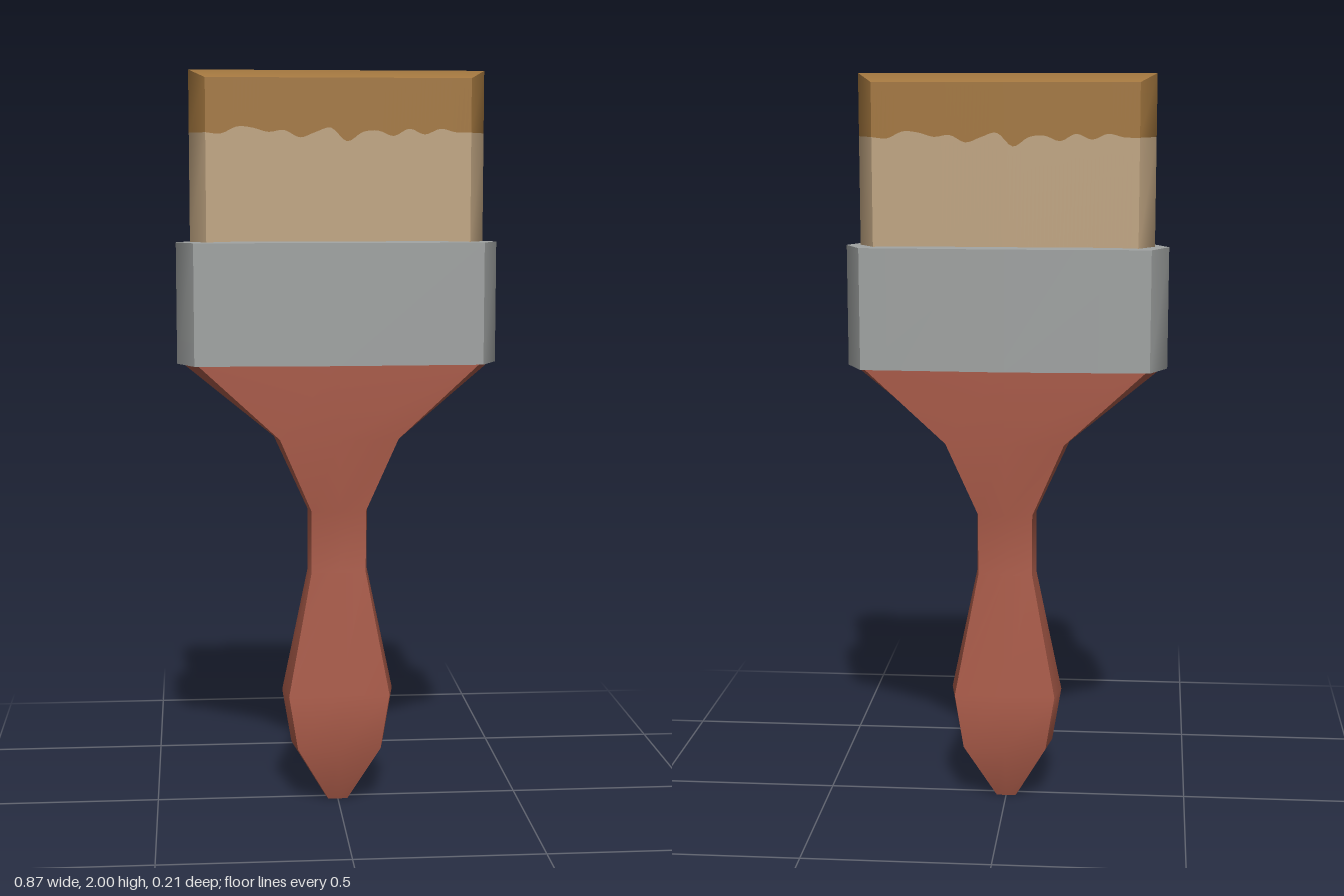
import * as THREE from 'three';
import { mergeGeometries } from 'three/addons/utils/BufferGeometryUtils.js';

const handleRed = new THREE.MeshStandardMaterial({ name: 'handleRed', color: 0xaa5b49 });
const ferruleGrey = new THREE.MeshStandardMaterial({ name: 'ferruleGrey', color: 0x9fa2a1 });
const bristleTan = new THREE.MeshStandardMaterial({ name: 'bristleTan', color: 0xc0a582 });
const paintedOchre = new THREE.MeshStandardMaterial({ name: 'paintedOchre', color: 0xa3773f });

// Smooth surface through rows of [x, y, z] points, rows running upwards
function grid(rows) {
  const n = rows[0].length, index = [];
  for (let j = 0; j < rows.length - 1; j++) {
    for (let i = 0; i < n - 1; i++) {
      const a = j * n + i, b = a + 1, c = b + n, d = a + n;
      index.push(a, b, c, a, c, d);
    }
  }
  return build(rows.flat(), index);
}

function build(points, index) {
  const g = new THREE.BufferGeometry();
  g.setAttribute('position', new THREE.Float32BufferAttribute(points.flat(), 3));
  g.setIndex(index);
  g.computeVertexNormals();
  return g;
}

// Section: y, tip half-width w, corner half-width i, corner depth c, middle depth d
const frontRow = ({ y, i, c, d }) => [[-i, y, c], [0, y, d], [i, y, c]];
const sideRow = ({ y, w, i, c, tipY = y }) => [[i, y, c], [w, tipY, 0], [i, y, -c]];
const turned = (g) => g.clone().rotateY(Math.PI);

// Walls with a crease between the broad and the narrow faces
function walls(sections) {
  const half = [grid(sections.map(frontRow)), grid(sections.map(sideRow))];
  return [...half, ...half.map(turned)];
}

// Fan closing the end of a section
function cap(s, centreY, up) {
  const half = [...frontRow(s).slice(1), sideRow(s)[1], [s.i, s.y, -s.c]];
  const ring = [...half, ...half.map(([x, y, z]) => [-x, y, -z])];
  const index = [];
  for (let k = 0; k < 8; k++) {
    const a = 1 + k, b = 1 + (k + 1) % 8;
    index.push(0, up ? a : b, up ? b : a);
  }
  return build([[0, centreY, 0], ...ring], index);
}

function part(name, geometries, material) {
  const mesh = new THREE.Mesh(mergeGeometries(geometries), material);
  mesh.name = name;
  return mesh;
}

export function createModel() {
  const group = new THREE.Group();
  group.name = 'paintbrush';

  // Handle, from the butt up to the flared shoulders
  const handle = [
    [0, 0.032, 0.027, 0.026, 0.03],
    [0.16, 0.128, 0.114, 0.083, 0.092],
    [0.31, 0.153, 0.138, 0.083, 0.092],
    [0.65, 0.082, 0.074, 0.056, 0.062],
    [0.82, 0.082, 0.074, 0.06, 0.066],
    [1.02, 0.173, 0.16, 0.083, 0.092],
    [1.225, 0.423, 0.382, 0.084, 0.094],
  ].map(([y, w, i, c, d]) => ({ y, w, i, c, d }));
  group.add(part('handle', [...walls(handle), cap(handle[0], 0, false)], handleRed));

  // Metal ferrule with a slightly raised top
  const band = { w: 0.433, i: 0.387, c: 0.092, d: 0.103 };
  const bottom = { ...band, y: 1.22 }, top = { ...band, y: 1.546 };
  group.add(part('ferrule', [
    ...walls([bottom, top]), cap(bottom, 1.22, false), cap(top, 1.558, true),
  ], ferruleGrey));

  // Wavy edge of the paint on the broad faces
  const tuft = { w: 0.395, i: 0.352, c: 0.065, d: 0.072 };
  const edgeY = 1.835, rootY = 1.54, tipY = 1.977;
  const heights = [edgeY, 1.832, 1.85, 1.847, 1.836, 1.841, 1.822, 1.836, 1.847, 1.812,
    1.836, 1.84, 1.826, 1.845, 1.83, 1.845, 1.836, edgeY];
  const wave = new THREE.SplineCurve(heights.map((y, k) =>
    new THREE.Vector2(tuft.i * (2 * k / (heights.length - 1) - 1), y)));
  const line = wave.getPoints(68);
  const broadRow = (height) => line.map((p) => [
    p.x, height ?? p.y, tuft.d - (tuft.d - tuft.c) * Math.abs(p.x) / tuft.i]);
  const root = { ...tuft, y: rootY }, edge = { ...tuft, y: edgeY };
  const tip = { ...tuft, y: tipY, tipY: 2 };

  // Clean bristles below the edge, painted bristles with a ridged end above it
  const clean = [grid([broadRow(rootY), broadRow()]), grid([root, edge].map(sideRow))];
  const painted = [grid([broadRow(), broadRow(tipY)]), grid([edge, tip].map(sideRow))];
  group.add(part('bristles', [...clean, ...clean.map(turned)], bristleTan));
  group.add(part('paintedTips', [
    ...painted, ...painted.map(turned), cap(tip, 2, true),
  ], paintedOchre));

  return group;
}
